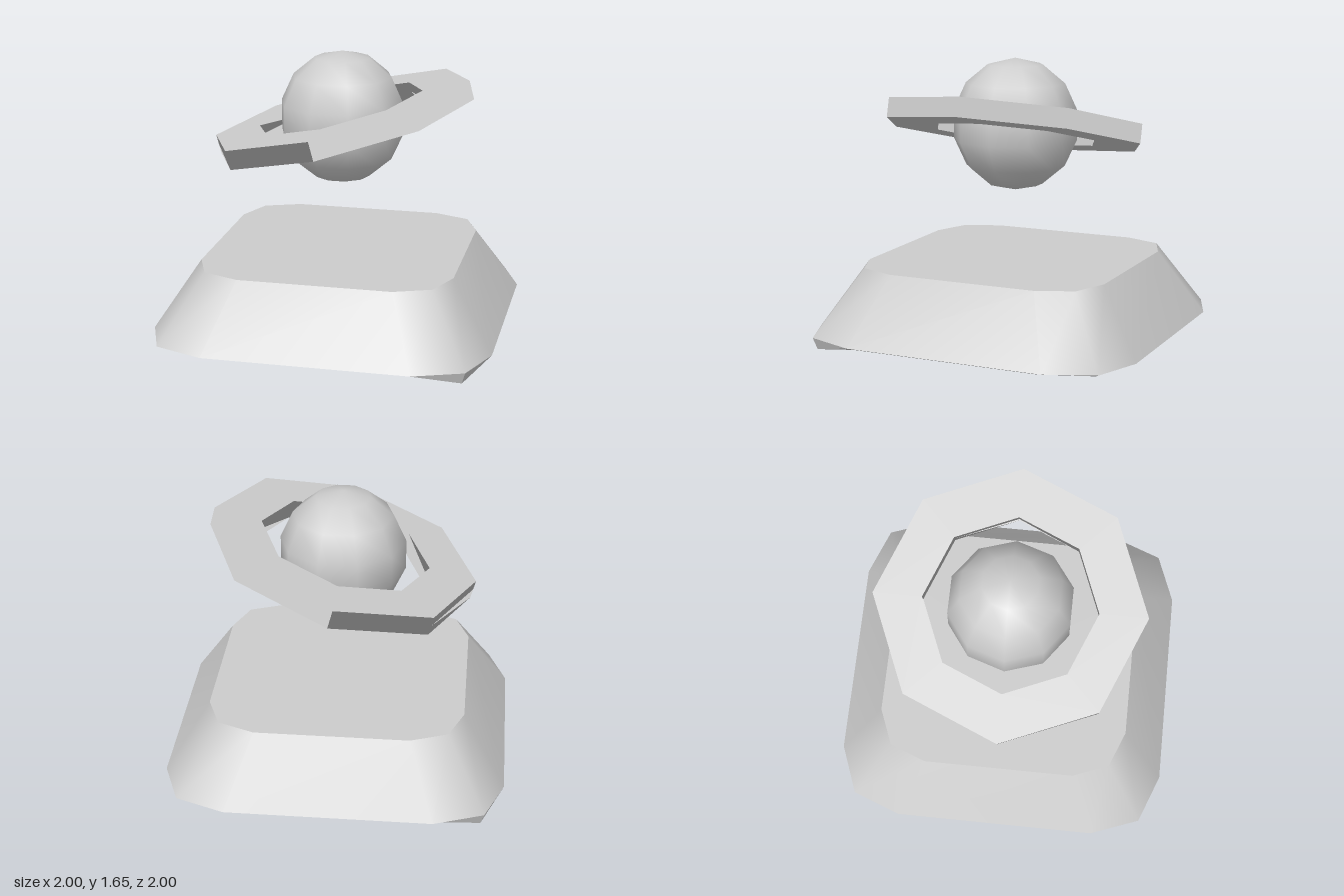
import * as THREE from 'three';

const grey = new THREE.MeshStandardMaterial({ color: 0xcccccc });
grey.name = 'lightGrey';

// Square outline with bevelled corners: 12 points, running from +z round to +x
function outline(along, corner, edge, heightAt) {
  const points = [];
  for (let q = 0; q < 4; q++) {
    [[along, edge], [corner, corner], [edge, along]].forEach(([x, z], k) => {
      for (let turn = 0; turn < q; turn++) [x, z] = [z, -x];
      points.push([x, heightAt(q, k), z]);
    });
  }
  return points;
}

function indexed(points, index) {
  const g = new THREE.BufferGeometry();
  g.setAttribute('position', new THREE.Float32BufferAttribute(points.flat(), 3));
  g.setIndex(index);
  g.computeVertexNormals();
  return g;
}

// Closed band of quads between two outlines
function band(lower, upper) {
  const n = lower.length, index = [];
  for (let i = 0; i < n; i++) {
    const j = (i + 1) % n;
    index.push(i, j, n + j, i, n + j, n + i);
  }
  return indexed([...lower, ...upper], index);
}

// Fan closing an outline, facing up or down
function cap(points, y, up) {
  const n = points.length, index = [];
  for (let i = 0; i < n; i++) {
    const j = (i + 1) % n;
    index.push(n, up ? i : j, up ? j : i);
  }
  return indexed([...points, [0, y, 0]], index);
}

// Octagonal ring shaded as two flat halves, upper and lower
function flatRing(inner, outer, half) {
  const profile = [
    [inner, -half], [outer, -half], [outer, 0],
    [outer, 0], [outer, half], [inner, half], [inner, 0],
    [inner, 0], [inner, -half],
  ].map(([r, y]) => new THREE.Vector2(r, y));
  const g = new THREE.LatheGeometry(profile, 8);
  const normal = g.attributes.normal;
  for (let i = 0; i < normal.count; i++) {
    const k = i % profile.length;
    normal.setXYZ(i, 0, k >= 3 && k <= 6 ? 1 : -1, 0);
  }
  return g;
}

export function createModel() {
  const model = new THREE.Group();
  model.name = 'ringedPlanetOnPlinth';
  const add = (name, geometry, parent = model) => {
    const mesh = new THREE.Mesh(geometry, grey);
    mesh.name = name;
    parent.add(mesh);
    return mesh;
  };

  // Plinth: sloping walls over a shallow skirt that dips at two opposite corners
  const plinth = new THREE.Group();
  plinth.name = 'plinth';
  model.add(plinth);
  const top = outline(0.45, 0.665, 0.75, () => 0.46);
  const rim = outline(0.6, 0.89, 1, () => 0.07);
  const foot = outline(0.57, 0.87, 0.97, (q, k) => (k === 1 && q % 2 === 0 ? 0 : 0.058));
  add('plinthTop', cap(top, 0.46, true), plinth);
  add('plinthWalls', band(rim, top), plinth);
  const skirt = band(foot, rim).toNonIndexed();
  skirt.computeVertexNormals();
  add('plinthSkirt', skirt, plinth);
  add('plinthUnderside', cap(foot, 0.058, false), plinth);

  // Planet
  const planet = add('planet', new THREE.SphereGeometry(1, 10, 7));
  planet.scale.set(0.378, 0.395, 0.378);
  planet.position.y = 1.26;

  // Tilted ring
  const ring = add('planetRing', flatRing(0.51, 0.794, 0.057));
  ring.position.y = 1.252;
  ring.rotation.z = THREE.MathUtils.degToRad(15);

  return model;
}
